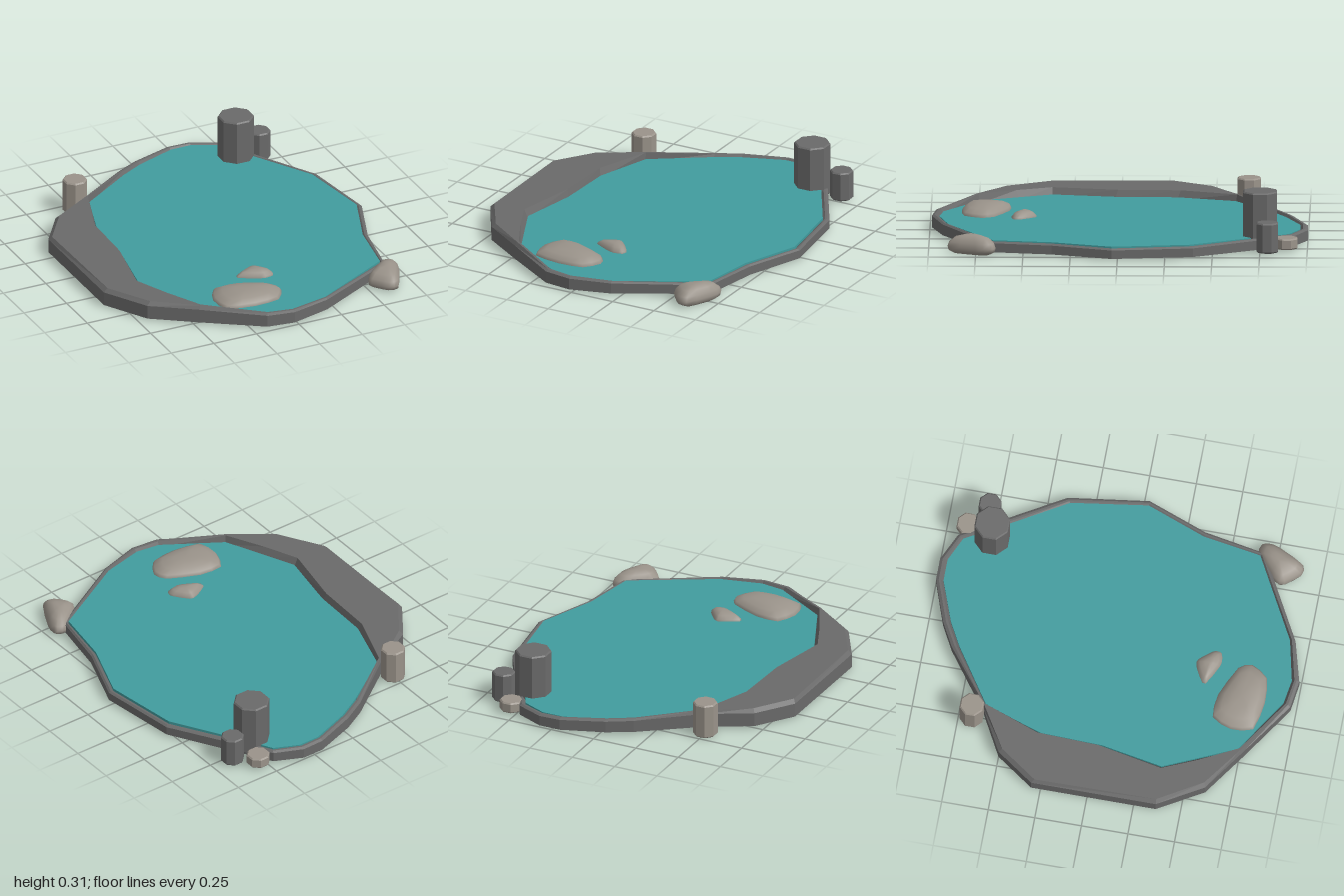
import * as THREE from 'three';

const paint = (color, flatShading = true) =>
  new THREE.MeshStandardMaterial({ color, flatShading, roughness: 0.9 });
const darkStone = paint(0x6a6a6a);
const paleStone = paint(0x9a938a);
const smoothStone = paint(0x9a938a, false);
const waterBlue = paint(0x419c9e);

// Skin rings of [x, y, z] (listed bottom to top), with optional fan caps
function loft(rings, capBottom, capTop) {
  const n = rings[0].length, pos = rings.flat(2), index = [];
  for (let r = 0; r < rings.length - 1; r++) {
    for (let i = 0; i < n; i++) {
      const a = r * n + i, b = r * n + (i + 1) % n;
      index.push(a, a + n, b, b, a + n, b + n);
    }
  }
  const cap = (r, top) => {
    const c = pos.length / 3;
    pos.push(...[0, 1, 2].map(k => rings[r].reduce((s, p) => s + p[k], 0) / n));
    for (let i = 0; i < n; i++) {
      const a = r * n + i, b = r * n + (i + 1) % n;
      index.push(...(top ? [c, b, a] : [c, a, b]));
    }
  };
  if (capBottom) cap(0, false);
  if (capTop) cap(rings.length - 1, true);
  const g = new THREE.BufferGeometry();
  g.setAttribute('position', new THREE.Float32BufferAttribute(pos, 3));
  g.setIndex(index);
  g.computeVertexNormals();
  return g;
}

// Pond outline: outer x, z and water edge x, z
const outline = [
  [0.20, -1.00, 0.20, -0.96], [0.32, -1.00, 0.32, -0.96], [0.47, -0.93, 0.45, -0.90],
  [0.58, -0.74, 0.55, -0.72], [0.78, -0.40, 0.75, -0.38], [0.84, 0.03, 0.81, 0.03],
  [0.72, 0.35, 0.69, 0.35], [0.66, 0.68, 0.64, 0.66], [0.31, 0.87, 0.31, 0.84],
  [0.20, 0.93, 0.20, 0.90], [-0.02, 0.99, -0.02, 0.95], [-0.17, 0.97, -0.15, 0.93],
  [-0.47, 0.77, -0.45, 0.74], [-0.70, 0.61, -0.54, 0.54], [-0.84, 0.37, -0.62, 0.36],
  [-0.84, -0.30, -0.56, 0.03], [-0.70, -0.50, -0.55, -0.30], [-0.46, -0.63, -0.45, -0.61],
  [-0.16, -0.85, -0.15, -0.81], [-0.03, -0.92, -0.02, -0.88],
];

// Rim cross-section: wall, bevelled crest, wide shelf on the right, drop to the water
function rimRings() {
  const rings = [[], [], [], [], []];
  for (const [ox, oz, ix, iz] of outline) {
    const gap = Math.hypot(ix - ox, iz - oz), shelf = ox <= -0.46;
    const at = (t, y) => [ox + (ix - ox) * t, y, oz + (iz - oz) * t];
    const wall = shelf ? 0.085 : 0.08 - 0.019 * (ox + 0.47);
    const crest = shelf ? 0.105 : wall + 0.008;
    const t = Math.min(0.35, 0.022 / gap);
    [at(0, 0.01), at(0, wall), at(t, crest), at(1 - t, crest), at(1, 0.055)]
      .forEach((p, k) => rings[k].push(p));
  }
  return rings;
}

// Domed boulder from a ground outline; rows are [scale, height fraction]
function boulder(points, y0, y1) {
  const curve = new THREE.CatmullRomCurve3(
    points.map(([x, z]) => new THREE.Vector3(x, 0, z)), true, 'catmullrom', 0.3);
  const ring = curve.getPoints(16).slice(0, 16);
  const cx = ring.reduce((s, p) => s + p.x, 0) / 16;
  const cz = ring.reduce((s, p) => s + p.z, 0) / 16;
  const rows = [[0.75, 0], [0.96, 0.15], [1, 0.35], [0.93, 0.6], [0.7, 0.85], [0.35, 0.97]];
  return loft(rows.map(([s, h]) => ring.map(p =>
    [cx + (p.x - cx) * s, y0 + (y1 - y0) * h, cz + (p.z - cz) * s])), true, true);
}

// Eight-sided post with a small chamfer at both ends
function post(r, y0, y1) {
  const c = 0.007;
  const profile = [[0, y0], [r - c, y0], [r, y0 + c], [r, y1 - c], [r - c, y1], [0, y1]];
  return new THREE.LatheGeometry(profile.map(p => new THREE.Vector2(...p)), 8, Math.PI / 8);
}

export function createModel() {
  const group = new THREE.Group();
  const add = (name, geometry, material, x = 0, z = 0) => {
    const mesh = new THREE.Mesh(geometry, material);
    mesh.name = name;
    mesh.position.set(x, 0, z);
    group.add(mesh);
  };

  add('stoneBasin', loft(rimRings(), true, false), darkStone);
  const waterRing = y => outline.map(([, , x, z]) => [x, y, z]);
  add('water', loft([waterRing(0.05), waterRing(0.07)], false, true), waterBlue);

  // Posts around the rim
  add('tallPost', post(0.097, 0.02, 0.31), darkStone, 0.48, -0.75);
  add('mediumPost', post(0.062, 0.01, 0.17), darkStone, 0.635, -0.79);
  add('shortPost', post(0.063, 0.012, 0.07), paleStone, 0.54, -0.89);
  add('sidePost', post(0.066, 0.002, 0.19), paleStone, -0.5, -0.68);

  // Boulders in the water and beside the rim
  add('largeBoulder', boulder([[-0.30, 0.575], [-0.17, 0.58], [0.0, 0.66], [0.03, 0.73],
    [-0.03, 0.82], [-0.17, 0.835], [-0.33, 0.80], [-0.35, 0.68]], 0.04, 0.117), smoothStone);
  add('smallBoulder', boulder([[-0.06, 0.45], [0.0, 0.435], [0.07, 0.52], [0.065, 0.56],
    [0.0, 0.57], [-0.13, 0.50]], 0.04, 0.105), smoothStone);
  add('edgeBoulder', boulder([[0.66, 0.645], [0.72, 0.66], [0.72, 0.73], [0.64, 0.89],
    [0.58, 0.89], [0.51, 0.80], [0.54, 0.74]], 0, 0.1), smoothStone);

  return group;
}
